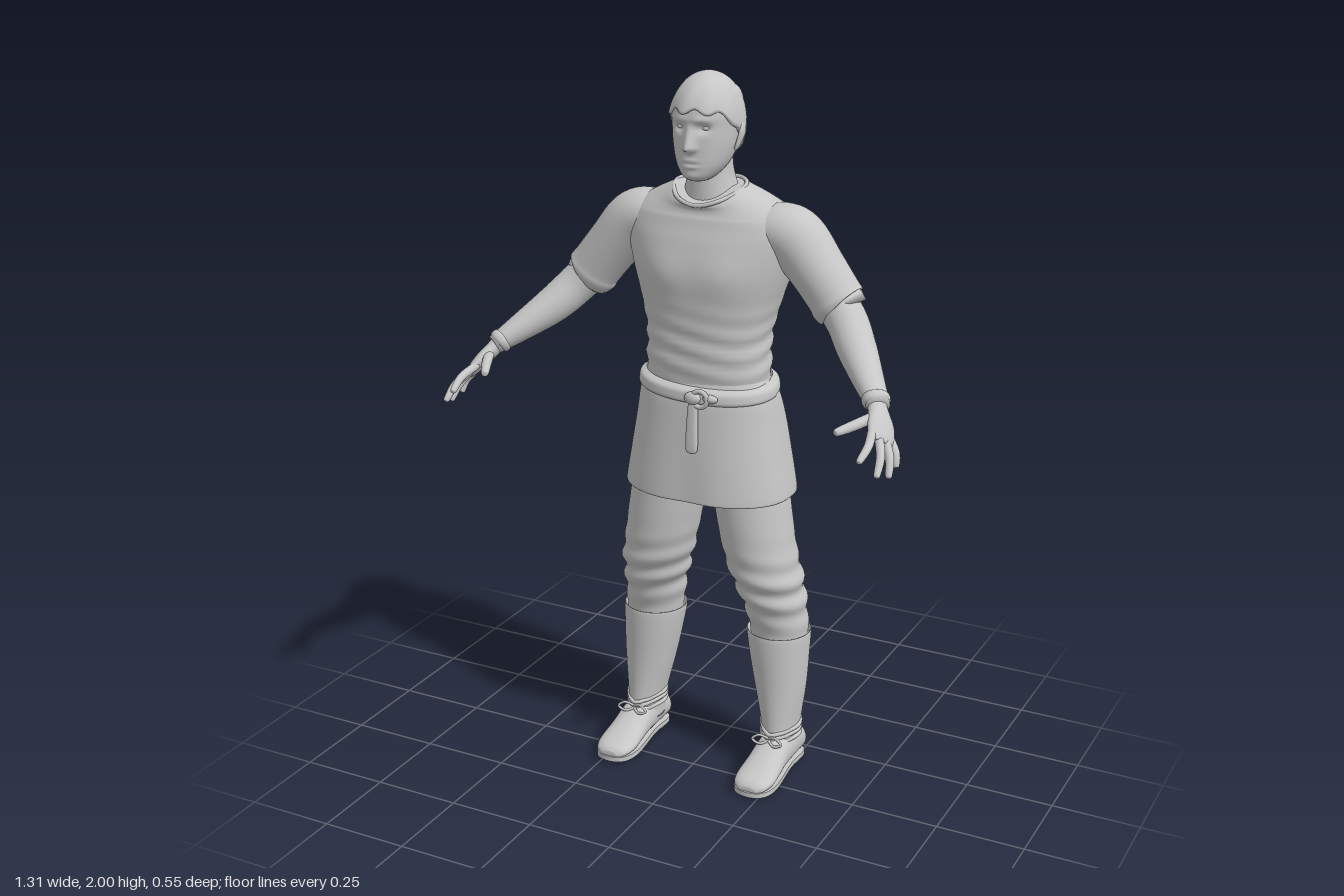
import * as THREE from 'three';
import { mergeVertices } from 'three/addons/utils/BufferGeometryUtils.js';

const V = (x, y, z) => new THREE.Vector3(x, y, z);
const bell = (t, w) => Math.exp(-((t / w) ** 2));
const sq = (t, p) => Math.sign(t) * Math.abs(t) ** (2 / p);

// Catmull-Rom subdivision of rows of numbers
function refine(rows, n) {
  const out = [], at = i => rows[Math.min(rows.length - 1, Math.max(0, i))];
  for (let i = 0; i < rows.length - 1; i++) for (let k = 0; k < n; k++) {
    const t = k / n, [a, b, c, d] = [at(i - 1), at(i), at(i + 1), at(i + 2)];
    out.push(b.map((_, j) => 0.5 * (2 * b[j] + (c[j] - a[j]) * t + (2 * a[j] - 5 * b[j] + 4 * c[j] - d[j]) * t * t
      + (3 * b[j] - a[j] - 3 * c[j] + d[j]) * t ** 3)));
  }
  out.push(rows[rows.length - 1]);
  return out;
}

// Skin closed rings into one smooth surface, facing outward
function skin(rings, capStart = true, capEnd = true) {
  const m = rings[0].length, pts = rings.flat(), idx = [];
  for (let i = 0; i < rings.length - 1; i++) for (let j = 0; j < m; j++) {
    const a = i * m + j, b = i * m + (j + 1) % m;
    idx.push(a, b, b + m, a, b + m, a + m);
  }
  const cap = (i, flip) => {
    const c = pts.length, mid = V(0, 0, 0);
    rings[i].forEach(p => mid.addScaledVector(p, 1 / m));
    pts.push(mid);
    for (let j = 0; j < m; j++) {
      const a = i * m + j, b = i * m + (j + 1) % m;
      flip ? idx.push(c, b, a) : idx.push(c, a, b);
    }
  };
  if (capStart) cap(0, true);
  if (capEnd) cap(rings.length - 1, false);
  const g = new THREE.BufferGeometry().setFromPoints(pts);
  g.computeBoundingBox();
  const o = g.boundingBox.getCenter(V(0, 0, 0));
  let vol = 0;
  for (let i = 0; i < idx.length; i += 3) {
    const [a, b, c] = [0, 1, 2].map(k => pts[idx[i + k]].clone().sub(o));
    vol += a.dot(b.cross(c));
  }
  if (vol < 0) idx.reverse();
  g.setIndex(idx);
  g.computeVertexNormals();
  return g;
}

// Stacked horizontal sections: [y, halfWidth, zFront, zBack, centreX]
function stack(rows, { n = 5, seg = 64, p = 2, rule, caps = [true, true] } = {}) {
  return skin(refine(rows, n).map(([y, w, f, b, cx = 0]) => Array.from({ length: seg }, (_, j) => {
    const a = j / seg * Math.PI * 2;
    const v = V(cx + w * sq(Math.sin(a), p), y, (f + b) / 2 + (f - b) / 2 * sq(Math.cos(a), p));
    if (rule) rule(v, a, cx);
    return v;
  })), ...caps);
}

// Limb along a path: [x, y, z, radius along ref, radius across]
function limb(rows, ref = V(0, 0, 1), seg = 24, n = 5, caps) {
  const fine = refine(rows, n), c = fine.map(r => V(r[0], r[1], r[2]));
  return skin(fine.map((r, i) => {
    const t = c[Math.min(i + 1, c.length - 1)].clone().sub(c[Math.max(i - 1, 0)]).normalize();
    const u = ref.clone().addScaledVector(t, -ref.dot(t)).normalize(), w = t.clone().cross(u);
    return Array.from({ length: seg }, (_, j) => {
      const a = j / seg * Math.PI * 2;
      return c[i].clone().addScaledVector(u, r[3] * Math.cos(a)).addScaledVector(w, r[4] * Math.sin(a));
    });
  }), ...(caps || []));
}

const cord = (pts, r, closed = true) =>
  new THREE.TubeGeometry(new THREE.CatmullRomCurve3(pts.map(p => V(...p)), closed), 64, r, 8, closed);
const ball = (x, y, z, a, b, c) => new THREE.SphereGeometry(1, 20, 14).scale(a, b, c).translate(x, y, z);

function mirrored(geo) {
  const g = geo.index ? geo.clone() : mergeVertices(geo);
  g.scale(-1, 1, 1);
  g.setIndex(Array.from(g.index.array).reverse());
  return g;
}

export function createModel() {
  const model = new THREE.Group();
  const grey = new THREE.MeshStandardMaterial({ color: 0xc6c6c6, side: THREE.DoubleSide });
  grey.name = 'plain grey';
  const add = (name, geo) => {
    const m = new THREE.Mesh(geo, grey);
    m.name = name;
    model.add(m);
  };
  const pair = (name, geo) => { add('left' + name, geo); add('right' + name, mirrored(geo)); };

  // Head with sculpted nose, eye sockets, brow and mouth
  add('head', stack([[1.722, 0.025, -0.005, -0.06], [1.735, 0.044, 0.014, -0.1], [1.765, 0.066, 0.021, -0.14],
    [1.81, 0.081, 0.022, -0.175], [1.86, 0.087, 0.022, -0.19], [1.91, 0.088, 0.02, -0.192],
    [1.95, 0.076, -0.005, -0.175], [1.975, 0.04, -0.04, -0.13]], {
    n: 9, seg: 112, p: 2.15, rule: v => {
      if (v.z < -0.06) return;
      const x = Math.abs(v.x), y = v.y;
      const ridge = y > 1.812 ? Math.max(0, 1 - (y - 1.812) / 0.065) : bell(y - 1.812, 0.009);
      v.z += 0.027 * ridge * bell(x, 0.011 + 0.005 * ridge) - 0.013 * bell(x - 0.034, 0.017) * bell(y - 1.864, 0.012)
        + 0.005 * bell(y - 1.885, 0.009) * bell(x - 0.03, 0.03) + 0.004 * bell(x, 0.022) * (bell(y - 1.779, 0.005)
        + bell(y - 1.764, 0.006)) - 0.004 * bell(x, 0.024) * bell(y - 1.771, 0.003) + 0.005 * bell(x, 0.025) * bell(y - 1.737, 0.012);
    },
  }));
  pair('Eye', ball(0.034, 1.864, -0.002, 0.013, 0.007, 0.009));
  pair('Ear', limb([[0.084, 1.8, -0.075, 0.004, 0.004], [0.09, 1.815, -0.08, 0.01, 0.006], [0.097, 1.845, -0.09, 0.017, 0.007],
    [0.096, 1.865, -0.092, 0.012, 0.005], [0.09, 1.872, -0.09, 0.003, 0.003]]));
  add('neck', stack([[1.63, 0.09, -0.035, -0.2], [1.69, 0.071, -0.037, -0.182], [1.74, 0.06, -0.038, -0.168], [1.8, 0.058, -0.04, -0.16]]));

  // Short hair: fringe high in front, hanging to the nape behind
  const hair = [];
  for (let i = 0; i <= 22; i++) hair.push(Array.from({ length: 96 }, (_, j) => {
    const a = j / 96 * Math.PI * 2, front = Math.cos(a);
    const low = front > 0 ? 0.33 - 0.5 * (1 - front) ** 2 : -0.17 + 0.57 * front;
    const t = Math.min(i, 20) / 20, phi = 0.03 + t * (Math.acos(low + 0.05 * Math.sin(a * 9)) - 0.03);
    const r = (i > 20 ? 1 - 0.07 * (i - 20) : 1) + 0.014 * t * Math.sin(a * 9 + phi * 3);
    return V(0.099 * r * Math.sin(phi) * Math.sin(a), 1.862 + 0.136 * Math.cos(phi) * (i > 20 ? 0.99 : 1),
      -0.084 + 0.12 * r * Math.sin(phi) * front);
  }));
  add('hair', skin(hair, true, false));

  // Tunic body with spine groove, shoulder blades and waist folds
  add('tunicBody', stack([[1.12, 0.172, 0.012, -0.2], [1.2, 0.178, 0.022, -0.212], [1.3, 0.179, 0.022, -0.22], [1.39, 0.2, 0.026, -0.242],
    [1.47, 0.225, 0.028, -0.26], [1.55, 0.248, 0.012, -0.265], [1.6, 0.248, -0.004, -0.255], [1.64, 0.215, -0.014, -0.238],
    [1.67, 0.165, -0.016, -0.22], [1.692, 0.12, -0.012, -0.2], [1.702, 0.1, -0.012, -0.188]], {
    n: 7, seg: 96, p: 2.2, rule: (v, a) => {
      const y = v.y, c = Math.cos(a), fold = 0.004 * bell(y - 1.26, 0.09) * Math.sin(y * 110 + 2 * Math.sin(a * 2));
      if (c < 0) v.z += 0.024 * bell(v.x, 0.035) * bell(y - 1.38, 0.17) - 0.008 * bell(Math.abs(v.x) - 0.1, 0.05) * bell(y - 1.53, 0.07);
      else v.z += 0.006 * bell(Math.abs(v.x) - 0.09, 0.06) * bell(y - 1.48, 0.06);
      v.x += fold * Math.sin(a);
      v.z += fold * c;
      if (y > 1.62) v.y -= 0.045 * (y - 1.62) / 0.08 * Math.max(0, c) ** 1.5;
    },
  }));
  add('collar', cord([[0, 1.656, -0.008], [0.06, 1.67, -0.025], [0.1, 1.698, -0.1], [0.06, 1.704, -0.175], [0, 1.704, -0.19],
    [-0.06, 1.704, -0.175], [-0.1, 1.698, -0.1], [-0.06, 1.67, -0.025]], 0.006));

  // Skirt of the tunic, turned in at the hem
  add('tunicSkirt', stack([[1.185, 0.172, 0.015, -0.2], [1.13, 0.197, 0.03, -0.235], [1.05, 0.212, 0.04, -0.265], [0.95, 0.229, 0.05, -0.275],
    [0.86, 0.244, 0.058, -0.28], [0.842, 0.243, 0.058, -0.28], [0.846, 0.235, 0.05, -0.272], [0.89, 0.23, 0.045, -0.265]], {
    n: 5, seg: 96, p: 2.3, caps: [false, false], rule: (v, a) => {
      const k = THREE.MathUtils.clamp((1.15 - v.y) / 0.3, 0, 1), c = Math.cos(a);
      if (c < 0) v.z += 0.03 * bell(v.x, 0.04) * k - 0.006 * k * Math.cos(v.x * 55);
      else v.z -= 0.008 * k * bell(v.x, 0.06);
      v.y -= 0.006 * k * (c < 0 ? 1 : 0) * -c;
    },
  }));

  // Belt, sagging in front, with ring knot and hanging end
  add('belt', stack([[1.122, 0.185, 0.025, -0.225], [1.13, 0.2, 0.041, -0.238], [1.145, 0.201, 0.042, -0.238], [1.16, 0.196, 0.038, -0.234],
    [1.17, 0.18, 0.022, -0.218]], { p: 2.2, caps: [false, false], rule: (v, a) => { v.y += 0.008 - 0.01 * Math.cos(a) - 0.03 * v.x * (Math.cos(a) > 0); } }));
  add('beltRing', new THREE.TorusGeometry(0.022, 0.007, 10, 28).translate(0.042, 1.143, 0.045));
  add('beltKnot', ball(0.02, 1.143, 0.045, 0.024, 0.018, 0.014));
  add('beltFold', ball(0.07, 1.145, 0.038, 0.022, 0.012, 0.012));
  add('beltEnd', stack([[0.988, 0.006, 0.057, 0.047, 0.021], [1.0, 0.017, 0.06, 0.044, 0.021], [1.07, 0.016, 0.056, 0.036, 0.02],
    [1.14, 0.013, 0.05, 0.03, 0.021]], { seg: 24, p: 3 }));

  // Sleeves and forearms
  pair('Sleeve', limb([[0.13, 1.595, -0.12, 0.07, 0.05], [0.19, 1.59, -0.123, 0.082, 0.073], [0.242, 1.566, -0.125, 0.084, 0.082], [0.305, 1.495, -0.12, 0.078, 0.076],
    [0.355, 1.433, -0.115, 0.073, 0.074], [0.37, 1.413, -0.113, 0.073, 0.076], [0.374, 1.409, -0.113, 0.066, 0.069], [0.36, 1.426, -0.113, 0.058, 0.06]], undefined, 40, 5, [true, false]));
  pair('Forearm', limb([[0.32, 1.465, -0.118, 0.054, 0.058], [0.4, 1.382, -0.09, 0.056, 0.056], [0.455, 1.322, -0.038, 0.054, 0.052],
    [0.52, 1.265, 0.035, 0.044, 0.039], [0.572, 1.222, 0.092, 0.033, 0.027]], undefined, 32));
  pair('Cuff', limb([[0.553, 1.238, 0.071, 0.032, 0.026], [0.556, 1.235, 0.075, 0.04, 0.034], [0.564, 1.229, 0.083, 0.039, 0.033], [0.567, 1.226, 0.086, 0.03, 0.025]]));

  // Hands
  pair('Palm', limb([[0.56, 1.234, 0.08, 0.027, 0.021], [0.575, 1.21, 0.1, 0.031, 0.021], [0.592, 1.187, 0.125, 0.042, 0.02], [0.606, 1.163, 0.153, 0.043, 0.016],
    [0.611, 1.153, 0.165, 0.036, 0.01]], V(0.035, -0.03, -0.06)));
  const fingers = {
    IndexFinger: [[0.585, 1.182, 0.165], [0.599, 1.162, 0.222], [0.595, 1.135, 0.275]],
    MiddleFinger: [[0.597, 1.17, 0.152], [0.626, 1.137, 0.206], [0.635, 1.095, 0.252]],
    RingFinger: [[0.608, 1.164, 0.137], [0.638, 1.123, 0.175], [0.649, 1.08, 0.205]],
    LittleFinger: [[0.616, 1.153, 0.122], [0.64, 1.123, 0.14], [0.648, 1.09, 0.153]],
    Thumb: [[0.577, 1.205, 0.11], [0.545, 1.195, 0.178], [0.514, 1.187, 0.236]],
  };
  for (const [name, [a, b, c]] of Object.entries(fingers)) {
    const r = name === 'Thumb' ? 0.014 : 0.0115, tip = c.map((v, i) => v - (v - b[i]) * 0.12);
    pair(name, limb([[...a, r, r], [...b, r, r], [...tip, r * 0.75, r * 0.75], [...c, r * 0.2, r * 0.2]], V(0.3, 0.8, 0.2), 14, 6));
  }

  // Trouser legs with folds at the knee
  pair('TrouserLeg', stack([[0.97, 0.1, -0.005, -0.21, 0.108], [0.85, 0.108, 0, -0.215, 0.125], [0.7, 0.105, 0, -0.215, 0.15],
    [0.6, 0.1, -0.012, -0.224, 0.172], [0.52, 0.09, -0.038, -0.234, 0.188], [0.43, 0.084, -0.066, -0.234, 0.199], [0.33, 0.074, -0.068, -0.225, 0.204]], {
    n: 9, rule: (v, a) => {
      const f = 0.006 * bell(v.y - 0.56, 0.1) * Math.sin(v.y * 85 + 1.5 * Math.sin(a));
      v.x += f * Math.sin(a);
      v.z += f * Math.cos(a);
    },
  }));

  // Boots: open-topped shaft, foot, sole, heel and ankle lacing
  pair('BootShaft', stack([[0.06, 0.05, -0.05, -0.203, 0.221], [0.13, 0.052, -0.058, -0.208, 0.219], [0.25, 0.073, -0.06, -0.224, 0.211], [0.35, 0.086, -0.058, -0.235, 0.203],
    [0.413, 0.092, -0.058, -0.243, 0.199], [0.418, 0.088, -0.062, -0.239, 0.199], [0.39, 0.079, -0.07, -0.23, 0.2]], { caps: [true, false] }));
  // Foot sections: [z, halfWidth, height]
  const foot = [[-0.211, 0.028, 0.07], [-0.203, 0.045, 0.1], [-0.15, 0.05, 0.125], [-0.07, 0.051, 0.118], [-0.01, 0.055, 0.088],
    [0.05, 0.058, 0.062], [0.088, 0.047, 0.05], [0.104, 0.025, 0.036]];
  pair('BootFoot', skin(refine(foot, 5).map(([z, w, h]) => Array.from({ length: 36 }, (_, j) => {
    const a = j / 36 * Math.PI * 2, s = Math.sin(a);
    return V(0.223 + w * sq(Math.cos(a), 2.3) * (s > 0 ? 1 - 0.12 * s : 1), 0.015 + (h - 0.015) * (0.5 + 0.5 * sq(s, 2.3)), z);
  }))));
  const outline = new THREE.Shape();
  outline.setFromPoints(new THREE.SplineCurve([[0, -0.214], [0.046, -0.19], [0.046, -0.1], [0.06, 0.03], [0.045, 0.092], [0, 0.11],
    [-0.045, 0.092], [-0.06, 0.03], [-0.046, -0.1], [-0.046, -0.19], [0, -0.214]].map(p => new THREE.Vector2(p[0], -p[1]))).getPoints(60));
  pair('Sole', new THREE.ExtrudeGeometry(outline, { depth: 0.015, bevelEnabled: false }).rotateX(-Math.PI / 2).translate(0.223, 0.008, 0));
  pair('Heel', stack([[0, 0.044, -0.11, -0.21, 0.223], [0.018, 0.047, -0.105, -0.213, 0.223]], { n: 1, seg: 32, p: 2.6 }));
  for (const [i, y] of [0.105, 0.122, 0.135].entries()) pair('Lace' + (i + 1), cord([[0.219, y - 0.01, -0.05], [0.275, y, -0.13],
    [0.219, y + 0.004, -0.214], [0.163, y + 0.006, -0.13]], 0.006));
  for (const s of [-1, 1]) pair(s < 0 ? 'InnerBow' : 'OuterBow', cord([[0.219, 0.113, -0.045], [0.219 + s * 0.025, 0.127, -0.035],
    [0.219 + s * 0.045, 0.112, -0.032], [0.219 + s * 0.022, 0.103, -0.03]], 0.004));

  return model;
}
